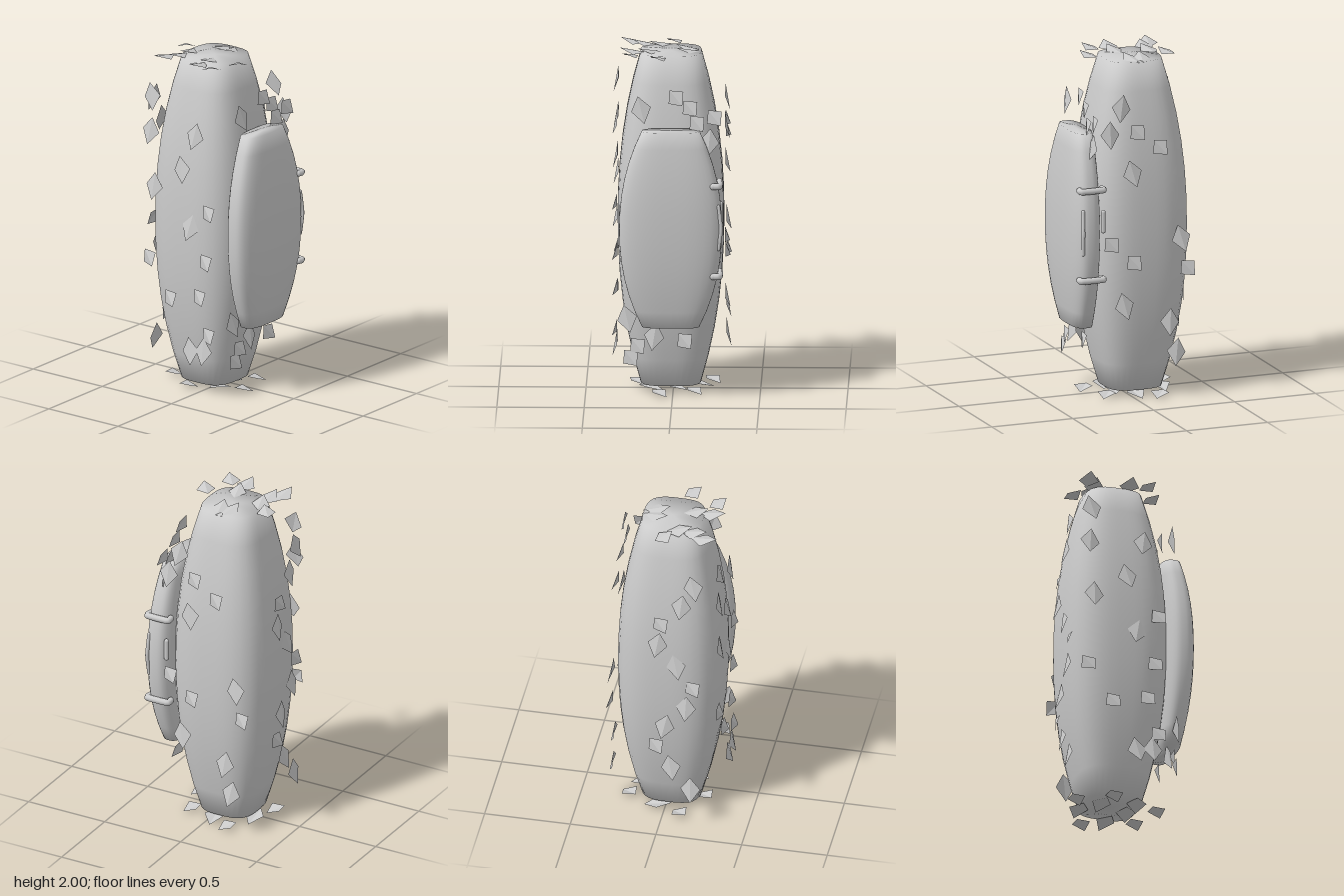
import * as THREE from 'three';

const grey = new THREE.MeshStandardMaterial({ color: 0xcccccc });
const flat = new THREE.MeshStandardMaterial({ color: 0xcccccc, flatShading: true, side: THREE.DoubleSide });

// Smooth barrel with rounded-square sections, tapering evenly to flat ends
function barrel(name, { center, half, taper, lean, power }) {
  const sides = 40, rows = 12, pos = [], idx = [];
  for (let j = 0; j <= rows; j++) {
    const t = (j / rows) * 2 - 1, bulge = Math.abs(t) ** 2.2;
    const hx = half.x * (1 - taper.x * bulge), hz = half.z * (1 - taper.z * bulge);
    for (let i = 0; i < sides; i++) {
      const a = (i / sides) * Math.PI * 2, c = Math.cos(a), s = Math.sin(a);
      const r = (Math.abs(c) ** power + Math.abs(s) ** power) ** (-1 / power);
      pos.push(center.x + lean * bulge + hx * r * c, center.y + half.y * t, center.z + hz * r * s);
    }
  }
  const at = (j, i) => j * sides + (i % sides);
  const base = pos.length / 3;
  for (const end of [-1, 1]) pos.push(center.x + lean, center.y + end * half.y, center.z);
  for (let i = 0; i < sides; i++) {
    for (let j = 0; j < rows; j++) {
      idx.push(at(j, i), at(j + 1, i), at(j, i + 1), at(j, i + 1), at(j + 1, i), at(j + 1, i + 1));
    }
    // End caps
    idx.push(base, at(0, i), at(0, i + 1), base + 1, at(rows, i + 1), at(rows, i));
  }
  const geo = new THREE.BufferGeometry();
  geo.setAttribute('position', new THREE.Float32BufferAttribute(pos, 3));
  geo.setIndex(idx);
  geo.computeVertexNormals();
  const mesh = new THREE.Mesh(geo, grey);
  mesh.name = name;
  return mesh;
}

// Folded diamond: three corners lie in the plane, the lower tip lifts off it
function flakeGeometry(w, h) {
  const top = [0, h, 0], left = [-w, 0, 0], right = [w, 0, 0], tip = [0, -h, 0.028];
  const geo = new THREE.BufferGeometry();
  const tris = [top, left, tip, top, tip, right].flat();
  geo.setAttribute('position', new THREE.Float32BufferAttribute(tris, 3));
  geo.computeVertexNormals();
  return geo;
}
const kite = flakeGeometry(0.058, 0.08);
const square = flakeGeometry(0.055, 0.056);

// One plane of floating flakes: upright kites and turned squares, each at [u, v]
function flakes(name, turn, place, kites, squares) {
  const set = new THREE.Group();
  set.name = name;
  const add = (geo, [u, v], spin) => {
    const flake = new THREE.Mesh(geo, flat);
    flake.name = 'flake';
    flake.position.set(...place(u, v));
    flake.rotation.set(...turn);
    flake.rotateZ(spin);
    set.add(flake);
  };
  kites.forEach((p, i) => add(kite, p, 0.25 * Math.cos(i * 2)));
  squares.forEach((p) => add(square, p, 0.7));
  return set;
}

// Rounded rod along a curve, with ball ends
function rod(name, points, radius) {
  const group = new THREE.Group();
  group.name = name;
  const pts = points.map((p) => new THREE.Vector3(...p));
  const curve = new THREE.CatmullRomCurve3(pts, false, 'catmullrom', 0.3);
  group.add(new THREE.Mesh(new THREE.TubeGeometry(curve, 24, radius, 10), grey));
  for (const p of [pts[0], pts[pts.length - 1]]) {
    const ball = new THREE.Mesh(new THREE.SphereGeometry(radius, 10, 8), grey);
    ball.position.copy(p);
    group.add(ball);
  }
  return group;
}

export function createModel() {
  const model = new THREE.Group();
  const quarter = Math.PI / 2;

  // Main barrel
  model.add(barrel('body', {
    center: { x: -0.06, y: 1.005, z: 0.015 }, half: { x: 0.3, y: 0.97, z: 0.305 },
    taper: { x: 0.45, z: 0.43 }, lean: 0, power: 3.2,
  }));

  // Side pack
  model.add(barrel('sidePack', {
    center: { x: 0.295, y: 1.005, z: 0.01 }, half: { x: 0.095, y: 0.575, z: 0.294 },
    taper: { x: 0.35, z: 0.44 }, lean: -0.02, power: 3,
  }));

  // Straps and rods on the rear edge of the pack
  for (const y of [0.74, 1.27]) {
    model.add(rod('strap', [
      [0.215, y, -0.235], [0.215, y, -0.268], [0.285, y, -0.272], [0.35, y, -0.268], [0.35, y, -0.235],
    ], 0.019));
  }
  model.add(rod('longRod', [[0.34, 0.9, -0.265], [0.345, 1.02, -0.28], [0.34, 1.15, -0.265]], 0.011));
  model.add(rod('shortRod', [[0.22, 1.03, -0.275], [0.22, 1.14, -0.275]], 0.014));

  // Flakes floating on the six planes around the body
  model.add(flakes('frontFlakes', [0, 0, 0], (x, y) => [x, y, 0.32],
    [[-0.275, 1.76], [-0.285, 1.55], [0.035, 1.58], [-0.06, 1.36], [-0.26, 1.22], [0, 1.02], [0, 0.275], [0.095, 0.29]],
    [[0.13, 1.13], [0.11, 0.83], [-0.295, 0.78], [0.065, 0.61], [-0.145, 0.565], [0.13, 0.39]]));

  model.add(flakes('backFlakes', [0, Math.PI, 0], (x, y) => [x, y, -0.3],
    [[-0.25, 0.95], [-0.18, 0.46], [-0.22, 0.28], [0.05, 1.36], [0.19, 1.6], [0.12, 1.75], [0.1, 0.58]],
    [[-0.12, 1.5], [-0.29, 0.77], [0.02, 1.6], [0.04, 0.83], [0.18, 0.95]]));

  model.add(flakes('leftFlakes', [0, quarter, 0], (z, y) => [0.255, y, z],
    [[0.18, 1.7], [-0.21, 1.51], [0.105, 0.365], [0.26, 0.47]],
    [[-0.02, 1.77], [-0.1, 1.71], [-0.14, 1.62], [-0.24, 1.655], [0.2, 0.31], [-0.07, 0.34], [0.24, 0.24]]));

  // Right side: a staggered column, wider at its ends
  const column = Array.from({ length: 11 }, (_, i) => [0.08 + 0.11 * Math.cos(i * 1.2), 1.7 - i * 0.145]);
  model.add(flakes('rightFlakes', [0, -quarter, 0], (z, y) => [-0.36, y, z],
    column.filter((_, i) => i % 3 !== 2), column.filter((_, i) => i % 3 === 2)));

  model.add(flakes('topFlakes', [-quarter, 0, 0], (x, z) => [x, 1.972, z],
    [[-0.2, 0.07], [-0.205, 0.16], [-0.26, 0.23], [-0.015, 0.13], [-0.015, 0.23], [-0.09, -0.09], [-0.03, -0.09]],
    [[-0.28, 0], [0.09, 0.245], [0.165, 0.085]]));

  // Underside: an even spiral scatter
  const spiral = Array.from({ length: 10 }, (_, i) => {
    const r = 0.27 * Math.sqrt((i + 1) / 10), a = i * 2.4;
    return [-0.04 + r * Math.cos(a), -0.01 + r * Math.sin(a)];
  });
  model.add(flakes('bottomFlakes', [quarter, 0, 0], (x, z) => [x, 0.03, z],
    spiral.slice(0, 5), spiral.slice(5)));

  return model;
}
